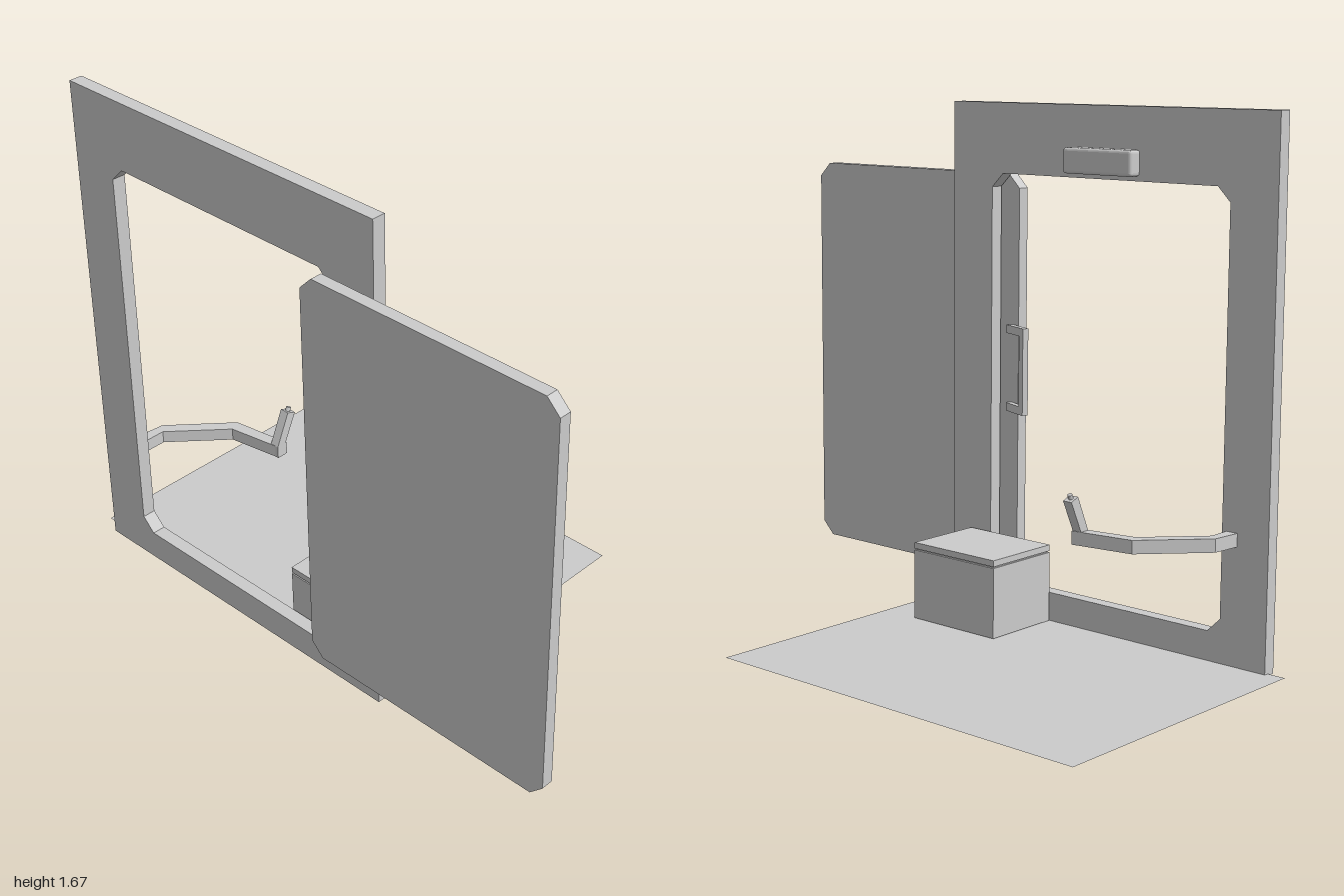
import * as THREE from 'three';
import { RoundedBoxGeometry } from 'three/addons/geometries/RoundedBoxGeometry.js';

const grey = new THREE.MeshStandardMaterial({ color: 0xcccccc, flatShading: true });
const greyThin = new THREE.MeshStandardMaterial({ color: 0xcccccc, side: THREE.DoubleSide });

const vectors = (pts) => pts.map(([x, y]) => new THREE.Vector2(x, y));

// Rectangle outline, optionally with chamfered corners
function rect(x0, y0, x1, y1, c = 0) {
  if (!c) return vectors([[x0, y0], [x1, y0], [x1, y1], [x0, y1]]);
  return vectors([
    [x0 + c, y0], [x1 - c, y0], [x1, y0 + c], [x1, y1 - c],
    [x1 - c, y1], [x0 + c, y1], [x0, y1 - c], [x0, y0 + c],
  ]);
}

function extrude(outline, depth, hole) {
  const shape = new THREE.Shape(outline);
  if (hole) shape.holes.push(new THREE.Path(hole));
  return new THREE.ExtrudeGeometry(shape, { depth, bevelEnabled: false });
}

export function createModel() {
  const model = new THREE.Group();

  function add(name, geometry, parent = model, material = grey) {
    const mesh = new THREE.Mesh(geometry, material);
    mesh.name = name;
    parent.add(mesh);
    return mesh;
  }
  // Box given by its minimum and maximum corners
  function addBox(name, a, b, parent) {
    const mesh = add(name, new THREE.BoxGeometry(b[0] - a[0], b[1] - a[1], b[2] - a[2]), parent);
    mesh.position.set((a[0] + b[0]) / 2, (a[1] + b[1]) / 2, (a[2] + b[2]) / 2);
    return mesh;
  }

  // Floor sheet behind the frame
  const floor = add('floor', new THREE.PlaneGeometry(1.36, 0.995).rotateX(-Math.PI / 2), model, greyThin);
  floor.position.set(-0.32, 0.006, -0.0415);

  // Wall frame with chamfered opening
  add('doorFrame', extrude(rect(-0.94, 0, 0.31, 1.67), 0.045, rect(-0.775, 0.1, 0.145, 1.445, 0.045)))
    .position.z = 0.44;

  // Sliding door panel
  add('slidingDoor', extrude(rect(0.08, 0.1, 1, 1.44, 0.045), 0.04)).position.z = 0.499;

  // U-shaped pull handle, angled back through the opening
  const handle = add('doorHandle', extrude(vectors([
    [0.005, 0.665], [0.005, 0.692], [-0.08, 0.692], [-0.08, 0.923],
    [0.005, 0.923], [0.005, 0.95], [-0.106, 0.95], [-0.106, 0.665],
  ]), 0.02).translate(0, 0, -0.02));
  handle.position.set(0.107, 0, 0.5);
  handle.rotation.y = -0.36;

  // Lamp housing above the opening
  add('overheadLamp', new RoundedBoxGeometry(0.265, 0.08, 0.05, 2, 0.01))
    .position.set(-0.3125, 1.5, 0.419);

  // Storage box with a narrow seam under the lid
  const storage = new THREE.Group();
  storage.name = 'storageBox';
  model.add(storage);
  addBox('boxBody', [-0.115, 0.008, 0.158], [0.225, 0.236, 0.433], storage);
  addBox('boxSeam', [-0.108, 0.236, 0.165], [0.218, 0.241, 0.426], storage);
  addBox('boxLid', [-0.115, 0.241, 0.158], [0.225, 0.261, 0.433], storage);

  // Bent bracket arm
  const arm = new THREE.Group();
  arm.name = 'bracketArm';
  model.add(arm);
  add('bentBar', extrude(vectors([
    [-0.83, 0.442], [-0.82, 0.342], [-0.652, 0.16], [-0.45, 0.128],
    [-0.45, 0.166], [-0.635, 0.198], [-0.79, 0.365], [-0.79, 0.442],
  ]), 0.042).rotateX(Math.PI / 2), arm).position.y = 0.42;

  // Leaning grip at the end of the arm, with a small button
  add('leaningGrip', extrude(vectors([
    [0.168, 0.378], [0.168, 0.42], [0.118, 0.531], [0.087, 0.519], [0.135, 0.418], [0.135, 0.378],
  ]), 0.032).rotateY(-Math.PI / 2), arm).position.x = -0.449;
  const button = add('button', new THREE.CylinderGeometry(0.008, 0.008, 0.018, 12), arm);
  button.position.set(-0.465, 0.53, 0.102);
  button.rotation.x = -0.4;

  return model;
}
